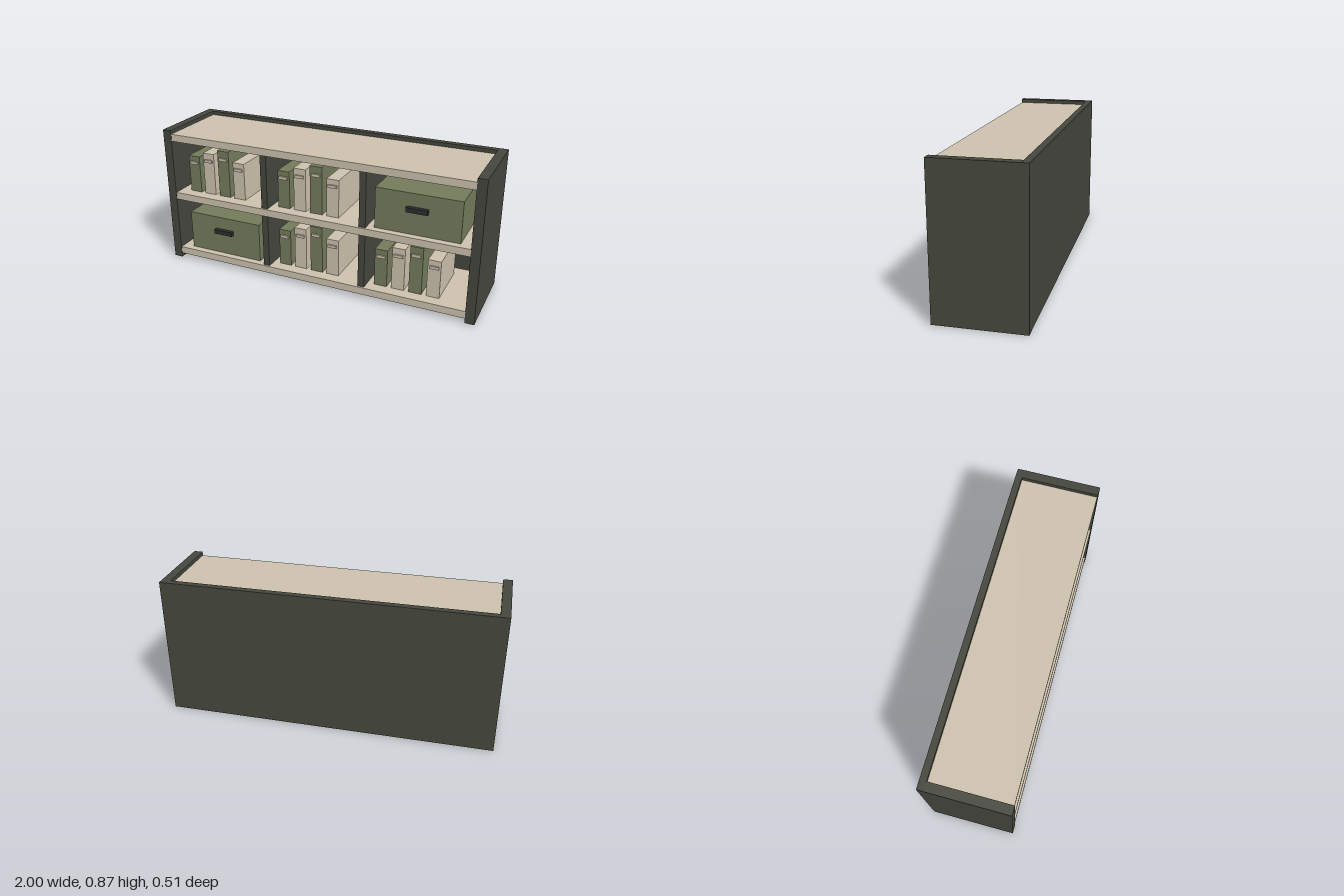
import * as THREE from 'three';

const material = (color) => new THREE.MeshStandardMaterial({ color, flatShading: true });

export function createModel() {
  const dark = material(0x45463d);
  const cream = material(0xcdc2ae);
  const green = material(0x747c5c);
  const black = material(0x2c2f2f);
  const model = new THREE.Group();
  model.name = 'bookcase';

  // Box given by its limits on each axis
  function slab(parent, name, mat, [x0, x1], [y0, y1], [z0, z1]) {
    const mesh = new THREE.Mesh(new THREE.BoxGeometry(x1 - x0, y1 - y0, z1 - z0), mat);
    mesh.position.set((x0 + x1) / 2, (y0 + y1) / 2, (z0 + z1) / 2);
    mesh.name = name;
    parent.add(mesh);
  }

  // Carcass: side panels, back panel and dividers
  const height = 0.865;
  slab(model, 'rightSide', dark, [-1, -0.945], [0, height], [-0.215, 0.255]);
  slab(model, 'leftSide', dark, [0.945, 1], [0, height], [-0.215, 0.255]);
  slab(model, 'backPanel', dark, [-1, 1], [0, height], [-0.255, -0.215]);

  // Shelves, each 0.045 thick
  const shelfTops = [0.072, 0.457, 0.842];
  for (const top of shelfTops) {
    slab(model, 'shelf', cream, [-0.945, 0.945], [top - 0.045, top], [-0.215, 0.252]);
  }
  for (const floor of shelfTops.slice(0, 2)) {
    for (const x of [-0.315, 0.315]) {
      slab(model, 'divider', dark, [x - 0.02, x + 0.02], [floor, floor + 0.34], [-0.215, 0.24]);
    }
  }

  // Row of four binders with spine labels
  function binders(bayX, floor) {
    const row = new THREE.Group();
    row.name = 'binderRow';
    [0.235, 0.266, 0.297, 0.235].forEach((h, i) => {
      const x = bayX - 0.213 + i * 0.1063;
      const labelY = floor + h * 0.82;
      slab(row, 'binder', i % 2 ? cream : green, [x - 0.039, x + 0.039], [floor, floor + h], [-0.14, 0.18]);
      slab(row, 'binderLabel', cream, [x - 0.027, x + 0.027], [labelY - 0.009, labelY + 0.009], [0.178, 0.19]);
    });
    model.add(row);
  }

  // Storage box with a dark handle
  function storageBox(bayX, floor) {
    const box = new THREE.Group();
    box.name = 'storageBox';
    slab(box, 'boxBody', green, [bayX - 0.25, bayX + 0.25], [floor, floor + 0.247], [-0.17, 0.21]);
    slab(box, 'boxHandle', black, [bayX - 0.063, bayX + 0.063], [floor + 0.14, floor + 0.168], [0.205, 0.235]);
    model.add(box);
  }

  // Contents of the six bays
  const [low, high] = shelfTops;
  storageBox(-0.628, low);
  binders(0, low);
  binders(0.628, low);
  binders(-0.628, high);
  binders(0, high);
  storageBox(0.628, high);

  return model;
}
